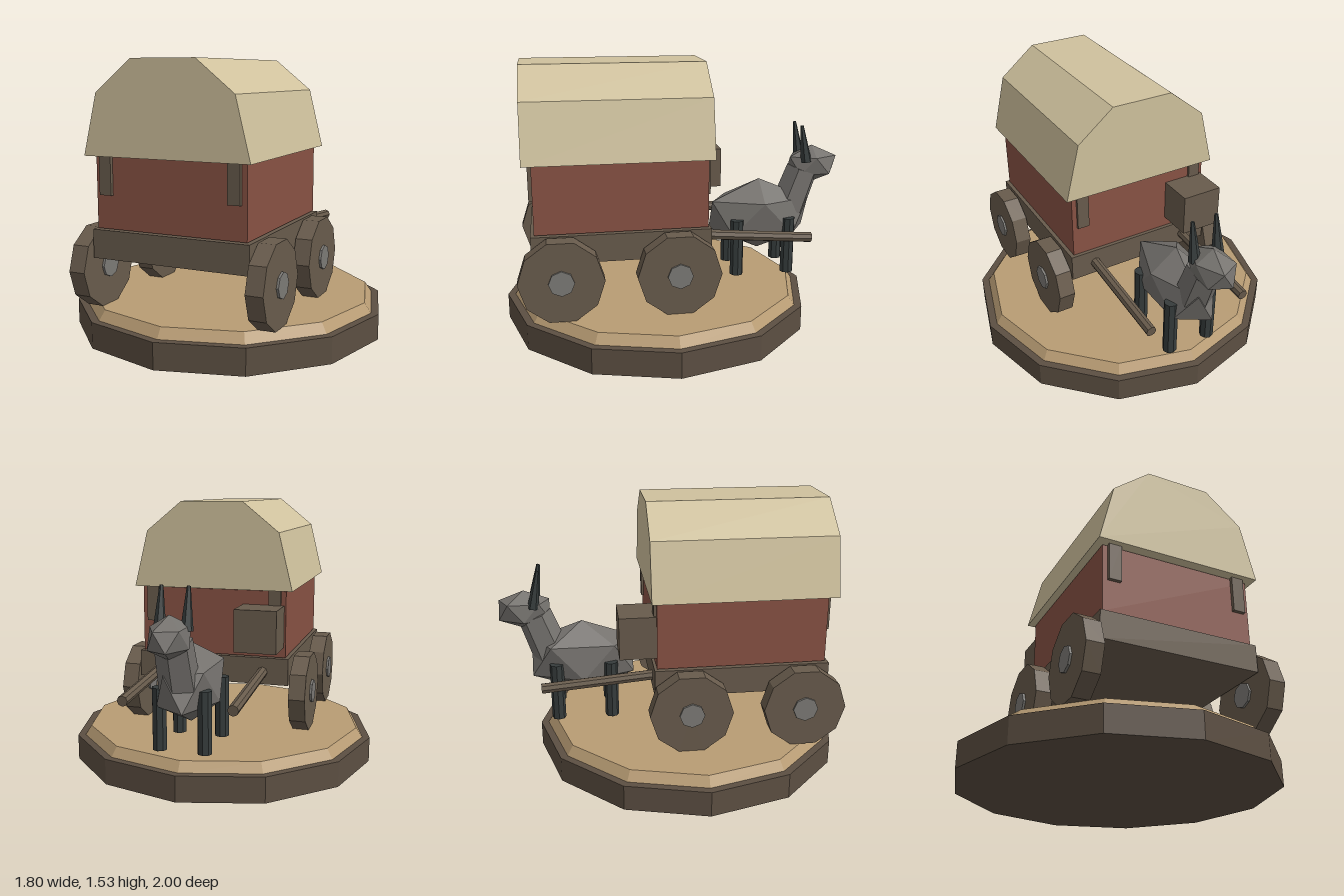
import * as THREE from 'three';
import { ConvexGeometry } from 'three/addons/geometries/ConvexGeometry.js';

const mat = (color) => new THREE.MeshStandardMaterial({ color, flatShading: true });
const WOOD = mat(0x685b4c), DARK_WOOD = mat(0x5c4f42), SAND = mat(0xb89c74), RED = mat(0x885244),
  CANVAS = mat(0xcfc19d), HIDE = mat(0x75726e), HORN = mat(0x363c3c), IRON = mat(0x7c7a76);

export function createModel() {
  const model = new THREE.Group();

  const add = (name, geometry, material, x = 0, y = 0, z = 0, parent = model) => {
    const mesh = new THREE.Mesh(geometry, material);
    mesh.name = name;
    mesh.position.set(x, y, z);
    parent.add(mesh);
    return mesh;
  };
  const box = (name, material, w, h, d, x, y, z) =>
    add(name, new THREE.BoxGeometry(w, h, d), material, x, y, z);

  // Tapered rod running from point a to point b
  const rod = (name, material, a, b, rA, rB, sides, parent = model) => {
    const from = new THREE.Vector3(...a), to = new THREE.Vector3(...b);
    const dir = to.clone().sub(from);
    const mesh = add(name, new THREE.CylinderGeometry(rB, rA, dir.length(), sides), material, 0, 0, 0, parent);
    mesh.position.copy(from).add(to).multiplyScalar(0.5);
    mesh.quaternion.setFromUnitVectors(new THREE.Vector3(0, 1, 0), dir.normalize());
    return mesh;
  };

  // Twenty-sided lump standing on a corner, stretched to three radii
  const lump = (rx, ry, rz) => {
    const points = [new THREE.Vector3(0, ry, 0), new THREE.Vector3(0, -ry, 0)];
    for (let i = 0; i < 10; i++) {
      const a = (i * Math.PI) / 5, level = i % 2 ? -0.4472 : 0.4472;
      points.push(new THREE.Vector3(0.8944 * Math.cos(a) * rx, level * ry, 0.8944 * Math.sin(a) * rz));
    }
    return new ConvexGeometry(points);
  };

  // Round base with a bevelled sandy top
  add('base', new THREE.CylinderGeometry(0.9, 0.9, 0.145, 12), DARK_WOOD, 0, 0.0725, 0.1);
  add('ground', new THREE.CylinderGeometry(0.82, 0.86, 0.06, 12), SAND, 0, 0.17, 0.1);

  // Wagon bed, cabin and driver's box
  box('wagonBed', WOOD, 0.9, 0.155, 0.985, 0, 0.5675, 0.3475);
  box('cabin', RED, 0.86, 0.38, 0.95, 0, 0.84, 0.345);
  box('storageBox', WOOD, 0.24, 0.24, 0.24, -0.3, 0.83, -0.215);

  // Canvas roof
  const roof = new THREE.Shape([[-0.47, 1.035], [0.47, 1.035], [0.39, 1.36], [0.18, 1.53], [-0.18, 1.53], [-0.39, 1.36]]
    .map(([x, y]) => new THREE.Vector2(x, y)));
  add('canopy', new THREE.ExtrudeGeometry(roof, { depth: 1.03, bevelEnabled: false }), CANVAS, 0, 0, -0.16);

  for (const side of [-1, 1]) {
    // Corner posts and wheels
    for (const z of [0.805, -0.11]) box('cornerPost', WOOD, 0.07, 0.22, 0.07, side * 0.367, 0.94, z);
    for (const z of [0.685, 0.048]) {
      const wheel = new THREE.Group();
      wheel.name = 'wheel';
      wheel.position.set(side * 0.5075, 0.42, z);
      wheel.rotation.z = Math.PI / 2;
      add('rim', new THREE.CylinderGeometry(0.232, 0.232, 0.095, 10), WOOD, 0, 0, 0, wheel);
      add('hub', new THREE.CylinderGeometry(0.07, 0.07, 0.12, 8), IRON, 0, 0, 0, wheel);
      model.add(wheel);
    }
    rod('shaft', WOOD, [side * 0.3, 0.565, -0.1], [side * 0.3, 0.51, -0.768], 0.03, 0.03, 8);
  }

  // Draught animal, facing away from the wagon
  const animal = new THREE.Group();
  animal.name = 'draughtAnimal';
  model.add(animal);
  add('body', lump(0.18, 0.22, 0.35), HIDE, 0, 0.58, -0.53, animal);
  rod('neck', HIDE, [0, 0.61, -0.715], [0, 0.85, -0.802], 0.11, 0.1, 6, animal);
  add('head', lump(0.115, 0.115, 0.17), HIDE, 0, 0.882, -0.857, animal);
  for (const side of [-1, 1]) {
    for (const z of [-0.37, -0.685])
      add('leg', new THREE.CylinderGeometry(0.04, 0.04, 0.34, 8), HORN, side * 0.125, 0.41, z, animal);
    rod('horn', HORN, [side * 0.072, 0.91, -0.802], [side * 0.072, 1.13, -0.766], 0.034, 0.01, 6, animal);
  }
  return model;
}
